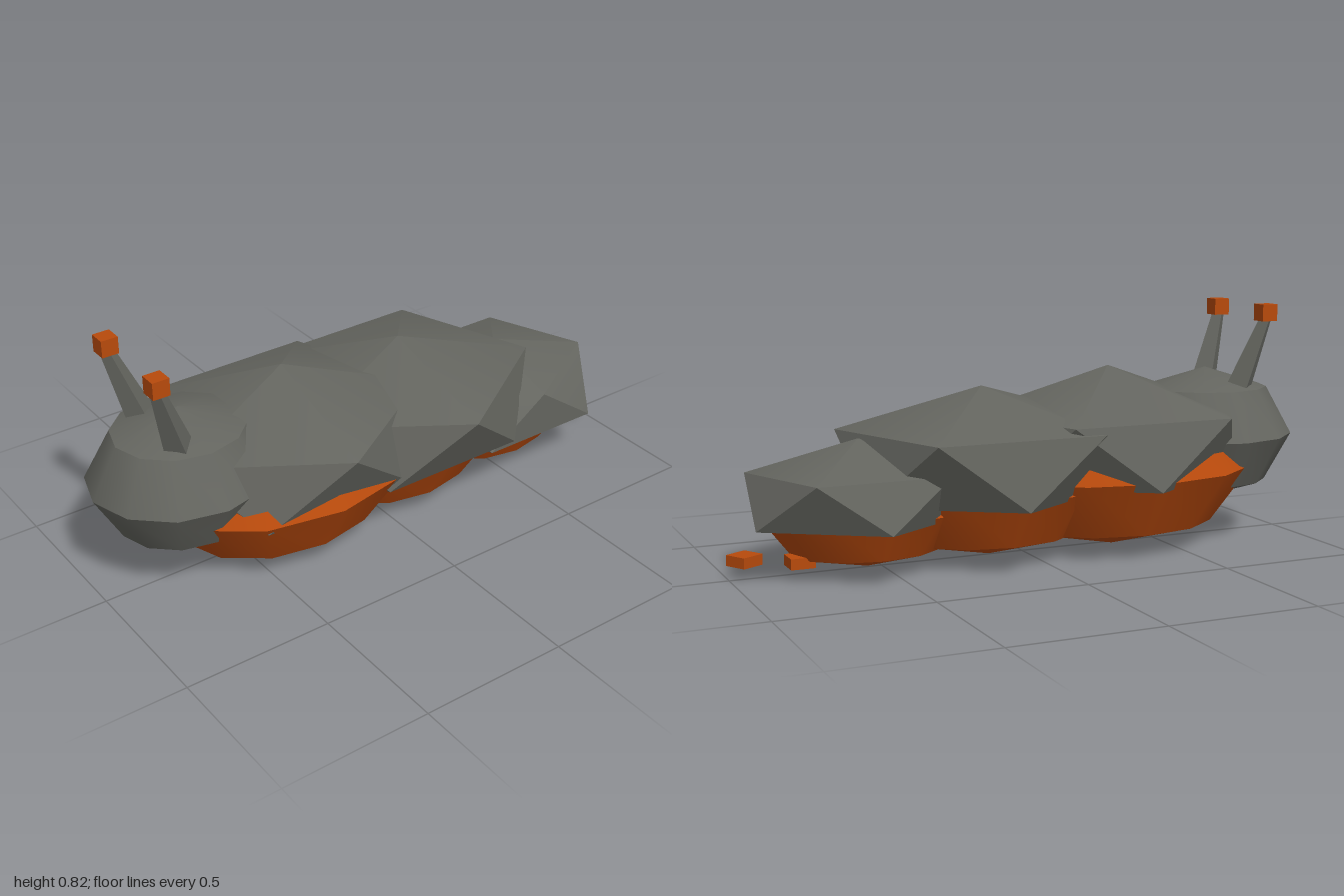
import * as THREE from 'three';
import { toCreasedNormals } from 'three/addons/utils/BufferGeometryUtils.js';

const CX = -0.02; // body centre line

export function createModel() {
  const group = new THREE.Group();
  const grey = new THREE.MeshStandardMaterial({ color: 0x64655f });
  grey.name = 'slate grey';
  const orange = new THREE.MeshStandardMaterial({ color: 0xb84a0c });
  orange.name = 'burnt orange';

  const add = (name, geometry, material, x = 0, y = 0, z = 0) => {
    const mesh = new THREE.Mesh(geometry, material);
    mesh.name = name;
    mesh.position.set(x, y, z);
    group.add(mesh);
    return mesh;
  };

  // squashed low-poly ball, smooth around but creased between its bands
  const ball = (rx, ry, rz) =>
    toCreasedNormals(new THREE.SphereGeometry(1, 12, 4).scale(rx, ry, rz), 0.6);

  // five-sided armour plate: peak, shoulder ring, and a rim turned by 36 degrees
  const plate = ({ z, peak, shoulder, rim }) => {
    const ring = ({ x, y, rx, rz }, offset) => Array.from({ length: 5 }, (_, i) => {
      const a = (i * 72 + offset) * Math.PI / 180;
      return [x + rx * Math.cos(a), y, z - rz * Math.sin(a)];
    });
    const up = ring(shoulder, 0), low = ring(rim, 36);
    const top = [CX, peak, z], base = [rim.x, rim.y, z];
    const points = [];
    for (let i = 0; i < 5; i++) {
      const j = (i + 1) % 5;
      points.push(top, up[i], up[j]);
      points.push(up[i], low[i], up[j]);
      points.push(up[j], low[i], low[j]);
      points.push(base, low[j], low[i]);
    }
    const geometry = new THREE.BufferGeometry();
    geometry.setAttribute('position', new THREE.Float32BufferAttribute(points.flat(), 3));
    return toCreasedNormals(geometry, 0.6);
  };

  // three belly segments, same proportions getting smaller to the tail
  const bellies = [
    { name: 'frontBelly', r: 0.51, z: 0.33, bottom: 0.005 },
    { name: 'middleBelly', r: 0.43, z: -0.13, bottom: 0.012 },
    { name: 'rearBelly', r: 0.35, z: -0.555, bottom: 0.013 },
  ];
  for (const { name, r, z, bottom } of bellies) {
    add(name, ball(r * 0.737, r * 0.53, r), orange, CX, bottom + r * 0.53, z);
  }

  // armour plates over the back
  add('frontPlate', plate({
    z: 0.31, peak: 0.623,
    shoulder: { x: CX, y: 0.467, rx: 0.417, rz: 0.485 },
    rim: { x: CX, y: 0.25, rx: 0.392, rz: 0.45 },
  }), grey);
  add('middlePlate', plate({
    z: -0.155, peak: 0.577,
    shoulder: { x: CX, y: 0.443, rx: 0.43, rz: 0.485 },
    rim: { x: CX, y: 0.225, rx: 0.392, rz: 0.45 },
  }), grey);
  add('rearPlate', plate({
    z: -0.58, peak: 0.43,
    shoulder: { x: -0.045, y: 0.335, rx: 0.303, rz: 0.37 },
    rim: { x: -0.015, y: 0.178, rx: 0.335, rz: 0.38 },
  }), grey);

  // head
  add('head', ball(0.282, 0.231, 0.31), grey, CX, 0.369, 0.69);

  // eye stalks with cube eyes
  for (const side of [-1, 1]) {
    const label = side > 0 ? 'left' : 'right';
    const foot = new THREE.Vector3(CX + side * 0.115, 0.53, 0.755);
    const tip = new THREE.Vector3(CX + side * 0.155, 0.785, 0.84);
    const axis = tip.clone().sub(foot);
    const stalk = add(label + 'EyeStalk',
      toCreasedNormals(new THREE.CylinderGeometry(0.022, 0.05, axis.length(), 4), 0.6), grey);
    stalk.position.copy(foot).lerp(tip, 0.5);
    stalk.quaternion.setFromUnitVectors(new THREE.Vector3(0, 1, 0), axis.normalize());
    add(label + 'Eye', new THREE.BoxGeometry(0.057, 0.057, 0.057), orange,
      CX + side * 0.155, 0.795, 0.835);
  }

  // small chips trailing at the tail
  const chip = new THREE.BoxGeometry(0.08, 0.035, 0.08);
  add('looseChip', chip, orange, 0.022, 0.062, -0.945).rotation.y = Math.PI / 6;
  add('lowerChip', chip, orange, -0.065, 0.062, -0.79);
  add('upperChip', new THREE.BoxGeometry(0.1, 0.02, 0.07), orange, -0.03, 0.19, -0.875);

  return group;
}
